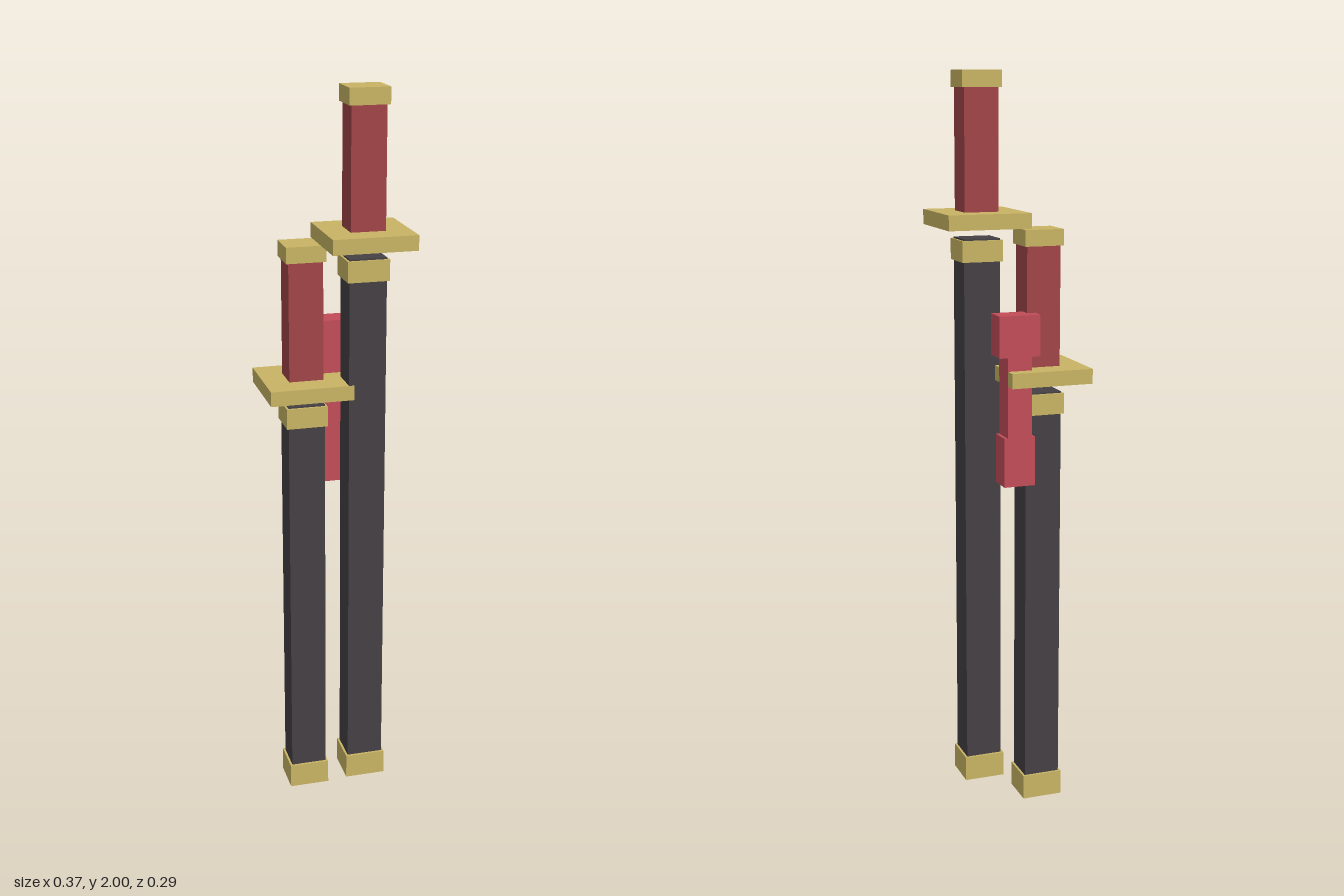
import * as THREE from 'three';

const gold = new THREE.MeshStandardMaterial({ color: 0xc8b464, name: 'gold' });
const charcoal = new THREE.MeshStandardMaterial({ color: 0x444044, name: 'charcoal' });
const wine = new THREE.MeshStandardMaterial({ color: 0xa04448, name: 'wine red' });
const crimson = new THREE.MeshStandardMaterial({ color: 0xc24c58, name: 'crimson' });

// Box centred on x and z, spanning y0 to y1
function block(parent, name, material, width, depth, y0, y1) {
  const mesh = new THREE.Mesh(new THREE.BoxGeometry(width, y1 - y0, depth), material);
  mesh.name = name;
  mesh.position.y = (y0 + y1) / 2;
  parent.add(mesh);
}

// Sheathed sword: scabbard from bottom to mouth, hilt from guardY upward
function sword(name, x, z, bottom, mouth, guardY, top) {
  const g = new THREE.Group();
  g.name = name;
  g.position.set(x, 0, z);
  block(g, 'scabbard', charcoal, 0.1, 0.088, bottom + 0.01, mouth);
  block(g, 'scabbardTip', gold, 0.112, 0.102, bottom, bottom + 0.068);
  block(g, 'scabbardCollar', gold, 0.112, 0.102, mouth - 0.06, mouth - 0.004);
  block(g, 'guard', gold, 0.225, 0.226, guardY, guardY + 0.04);
  block(g, 'handle', wine, 0.093, 0.084, guardY + 0.04, top - 0.02);
  block(g, 'pommel', gold, 0.107, 0.098, top - 0.043, top);
  return g;
}

export function createModel() {
  const model = new THREE.Group();
  model.name = 'pairedSwords';
  model.add(sword('longSword', 0.073, 0.032, 0.05, 1.571, 1.6, 2));
  model.add(sword('shortSword', -0.075, -0.0355, 0, 1.165, 1.194, 1.597));

  // Sash tying the two swords together at the back
  const sash = new THREE.Group();
  sash.name = 'sash';
  sash.position.set(0.0045, 0, -0.081);
  block(sash, 'sashKnot', crimson, 0.113, 0.068, 1.27, 1.38);
  block(sash, 'sashBand', crimson, 0.068, 0.067, 1.055, 1.27);
  block(sash, 'sashEnd', crimson, 0.086, 0.068, 0.922, 1.055);
  model.add(sash);
  return model;
}
